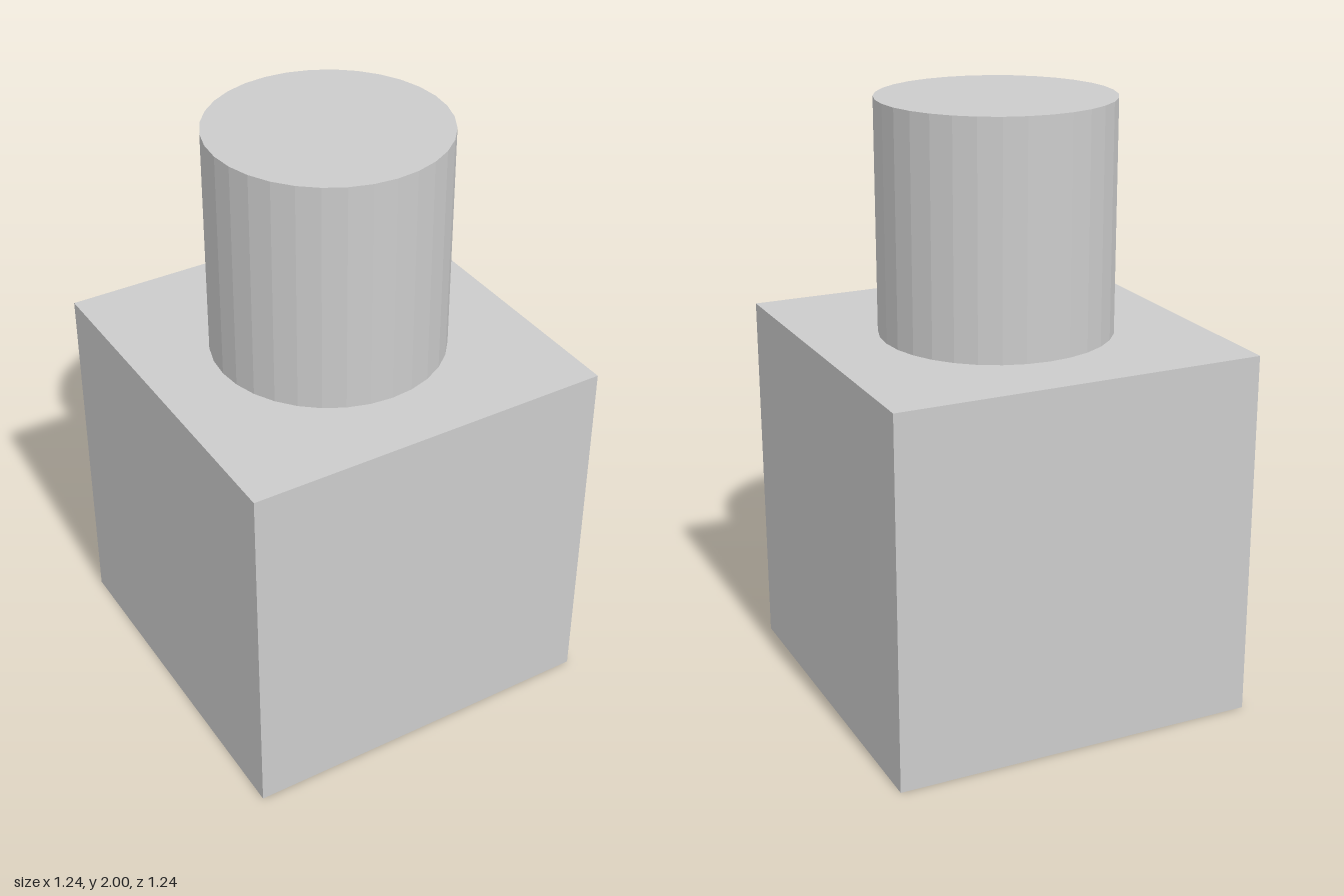
import * as THREE from 'three';

export function createModel() {
  const model = new THREE.Group();
  const material = new THREE.MeshStandardMaterial({ color: 0xcccccc, flatShading: true });
  const baseSize = 1.235;
  const postHeight = 2 - baseSize;

  // Adds a named part standing on the given height
  const addPart = (name, geometry, height, bottom) => {
    const mesh = new THREE.Mesh(geometry, material);
    mesh.name = name;
    mesh.position.y = bottom + height / 2;
    model.add(mesh);
  };

  // Cube base
  addPart('base', new THREE.BoxGeometry(baseSize, baseSize, baseSize), baseSize, 0);

  // Faceted round post centred on the base
  addPart('post', new THREE.CylinderGeometry(0.386, 0.386, postHeight, 32), postHeight, baseSize);

  return model;
}
